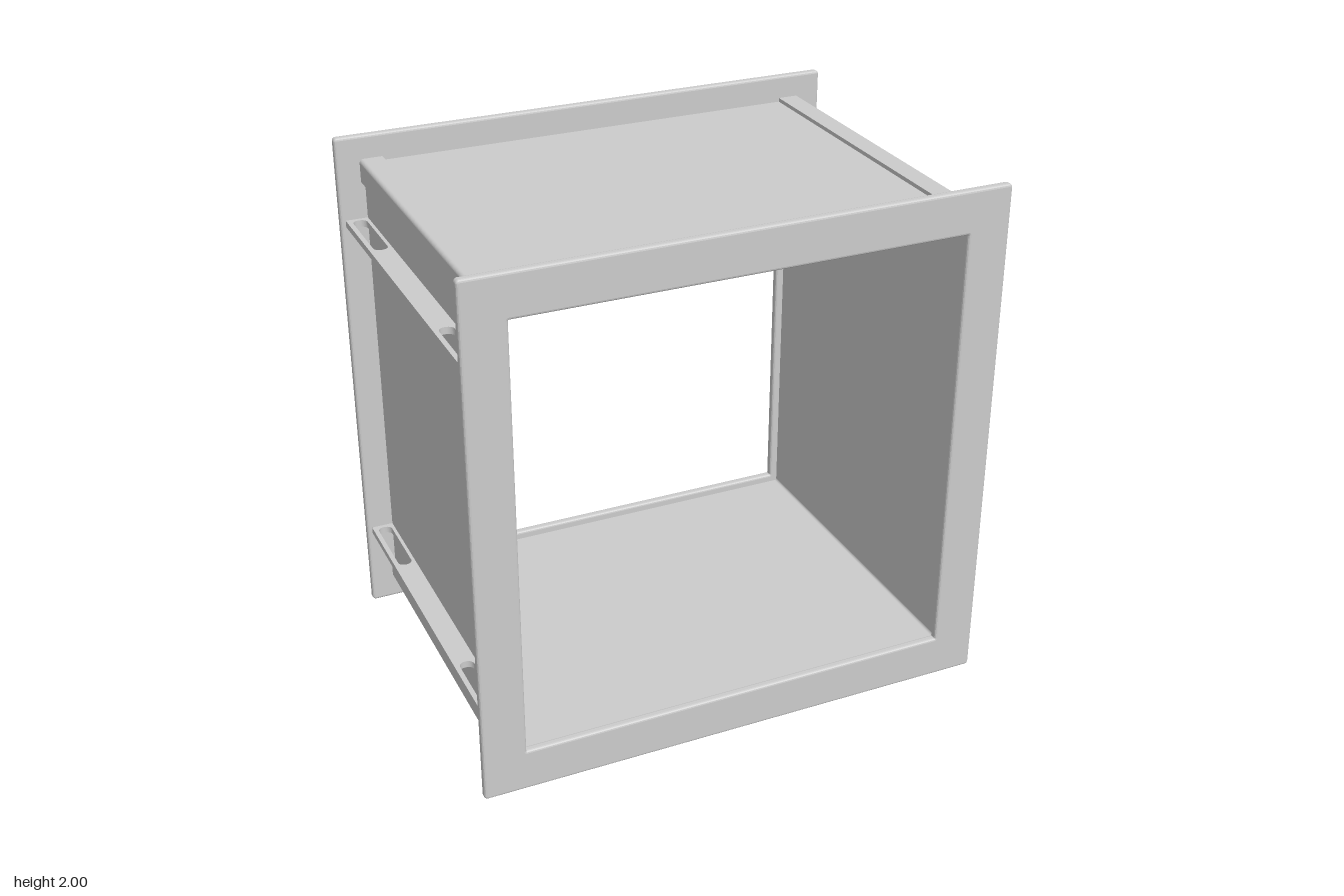
import * as THREE from 'three';

const mat = new THREE.MeshStandardMaterial({ color: 0xcccccc });

// Adds a rounded rectangle outline to a Shape or Path
function roundRect(p, x0, y0, x1, y1, r) {
  p.moveTo(x0 + r, y0);
  p.lineTo(x1 - r, y0);
  p.absarc(x1 - r, y0 + r, r, -Math.PI / 2, 0);
  p.lineTo(x1, y1 - r);
  p.absarc(x1 - r, y1 - r, r, 0, Math.PI / 2);
  p.lineTo(x0 + r, y1);
  p.absarc(x0 + r, y1 - r, r, Math.PI / 2, Math.PI);
  p.lineTo(x0, y0 + r);
  p.absarc(x0 + r, y0 + r, r, Math.PI, Math.PI * 1.5);
  return p;
}

// Square ring of the given half sizes, extruded along z and centred
function ring(outer, inner, ro, ri, depth, bevel) {
  const o = outer - bevel, i = inner + bevel;
  const s = roundRect(new THREE.Shape(), -o, -o, o, o, ro);
  s.holes.push(roundRect(new THREE.Path(), -i, -i, i, i, ri));
  const g = new THREE.ExtrudeGeometry(s, {
    depth: depth - 2 * bevel, curveSegments: 6, bevelEnabled: bevel > 0,
    bevelThickness: bevel, bevelSize: bevel, bevelSegments: 3,
  });
  return g.translate(0, 0, -depth / 2 + bevel);
}

export function createModel() {
  const model = new THREE.Group();
  model.name = 'ductFrame';
  const add = (name, geo, x, y, z) => {
    const m = new THREE.Mesh(geo, mat);
    m.name = name;
    m.position.set(x, y, z);
    model.add(m);
    return m;
  };

  // Square sleeve
  add('sleeve', ring(0.895, 0.868, 0.01, 0.01, 1.37, 0), 0, 1, 0);

  // Front and back flanges with softened edges
  const flange = ring(1, 0.836, 0.004, 0.012, 0.034, 0.01);
  add('frontFlange', flange, 0, 1, 0.694);
  add('backFlange', flange, 0, 1, -0.694);

  // Angle strips folded over the four long corners
  const a = 0.91, b = 0.822, t = 0.885, r = 0.015;
  const angle = new THREE.Shape();
  angle.moveTo(b, t);
  angle.lineTo(t, t);
  angle.lineTo(t, b);
  angle.lineTo(a, b);
  angle.lineTo(a, a - r);
  angle.absarc(a - r, a - r, r, 0, Math.PI / 2);
  angle.lineTo(b, a);
  const strip = new THREE.ExtrudeGeometry(angle, { depth: 1.345, bevelEnabled: false, curveSegments: 5 });
  strip.translate(0, 0, -0.677);
  for (let k = 0; k < 4; k++) add('cornerStrip', strip, 0, 1, 0).rotation.z = k * Math.PI / 2;

  // Slotted mounting rails on both sides
  const plate = roundRect(new THREE.Shape(), 0.88, -0.68, 0.98, 0.68, 0.004);
  for (const [z0, z1] of [[-0.66, -0.355], [0.355, 0.66]]) {
    plate.holes.push(roundRect(new THREE.Path(), 0.908, z0, 0.962, z1, 0.025));
  }
  const rail = new THREE.ExtrudeGeometry(plate, { depth: 0.026, bevelEnabled: false, curveSegments: 6 });
  rail.rotateX(Math.PI / 2).translate(0, 0.013, 0);
  for (const y of [0.333, 1.667]) {
    add('leftRail', rail, 0, y, 0);
    add('rightRail', rail, 0, y, 0).rotation.y = Math.PI;
  }

  return model;
}
